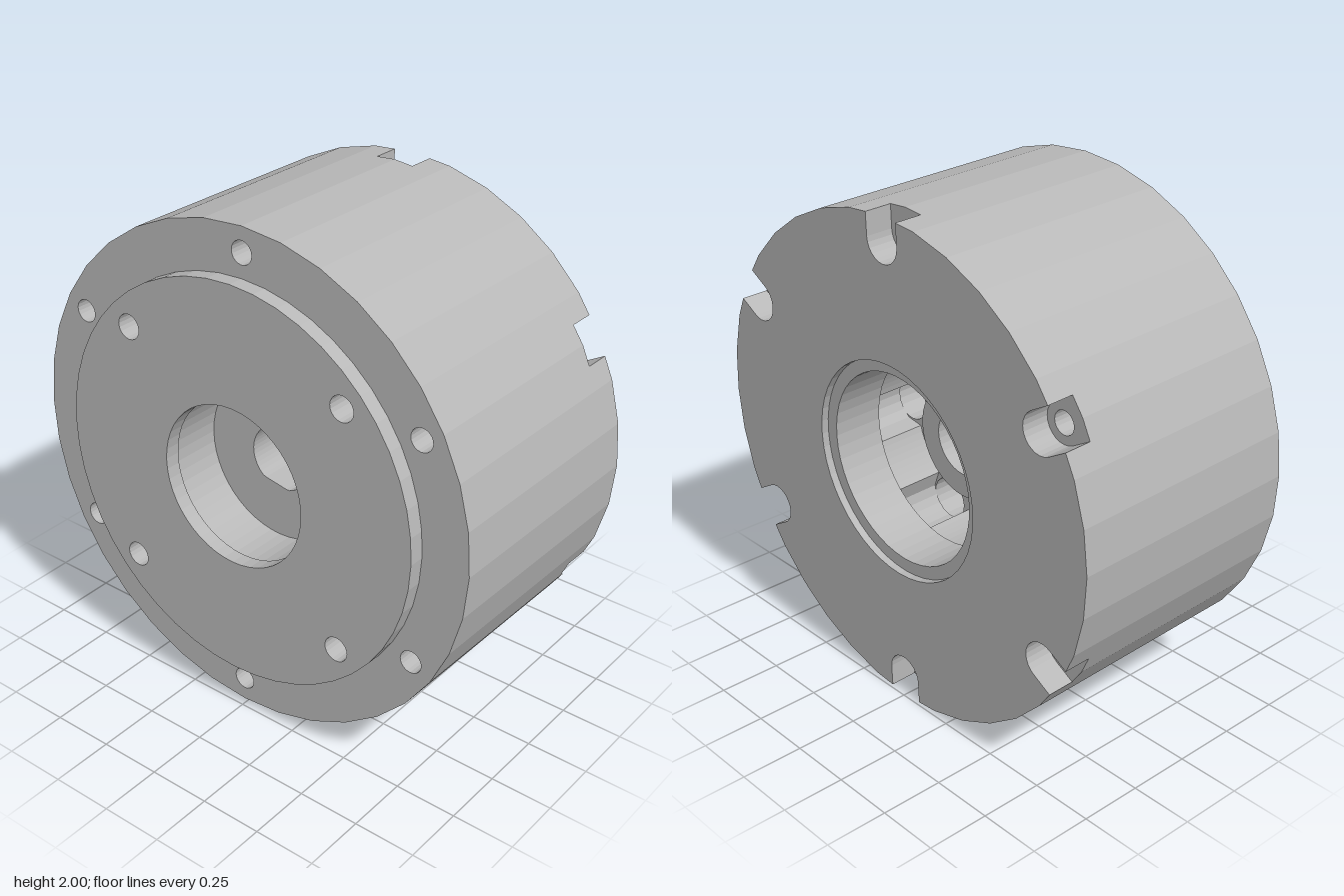
import * as THREE from 'three';

const R = 0.987, BOLT_R = 0.89, SLOT = 0.08, TILT = -0.0253;

// circle as a path around (x, y), optionally flattened on two sides
function circle(r, x = 0, y = 0, n = 24, flat = Infinity, turn = 0) {
  const pts = [];
  for (let i = 0; i < n; i++) {
    const a = (i / n) * Math.PI * 2;
    const u = r * Math.cos(a), v = THREE.MathUtils.clamp(r * Math.sin(a), -flat, flat);
    pts.push(new THREE.Vector2(
      x + u * Math.cos(turn) - v * Math.sin(turn),
      y + u * Math.sin(turn) + v * Math.cos(turn)));
  }
  return pts;
}

// n equal circles spaced around the axis
function ring(n, dist, r, start) {
  return Array.from({ length: n }, (_, i) => {
    const a = start + (i / n) * Math.PI * 2;
    return circle(r, dist * Math.cos(a), dist * Math.sin(a), 20);
  });
}

// faceted outline with six round-ended slots cut in from the rim
function slottedOutline() {
  const pts = [];
  for (let i = 0; i < 36; i++) {
    const a = (i * Math.PI) / 18;
    if (i % 6 !== 3) {
      pts.push(new THREE.Vector2(R * Math.cos(a), R * Math.sin(a)));
      continue;
    }
    const add = (u, v) => pts.push(new THREE.Vector2(
      u * Math.cos(a) - v * Math.sin(a), u * Math.sin(a) + v * Math.cos(a)));
    add(R - 0.007, -SLOT);
    for (let k = 0; k <= 12; k++) {
      const t = -Math.PI / 2 - (k / 12) * Math.PI;
      add(BOLT_R + SLOT * Math.cos(t), SLOT * Math.sin(t));
    }
    add(R - 0.007, SLOT);
  }
  return pts;
}

// six-lobed chamber outline
function lobedOutline() {
  const pts = [];
  for (let i = 0; i < 96; i++) {
    const a = (i / 96) * Math.PI * 2;
    const r = 0.385 + 0.11 * Math.sqrt(Math.max(0, Math.cos(6 * a)));
    pts.push(new THREE.Vector2(r * Math.cos(a), r * Math.sin(a)));
  }
  return pts;
}

export function createModel() {
  const model = new THREE.Group();
  const housing = new THREE.Group();
  housing.name = 'housing';
  const metal = new THREE.MeshStandardMaterial({ color: 0xb8b8b8 });
  metal.name = 'grey metal';

  // slab between two stations along the axis, with holes
  function slab(name, x0, x1, outline, holes) {
    const shape = new THREE.Shape(outline);
    for (const h of holes) shape.holes.push(new THREE.Path(h));
    const geo = new THREE.ExtrudeGeometry(shape, { depth: x1 - x0, bevelEnabled: false });
    geo.translate(0, 0, x0);
    geo.rotateY(Math.PI / 2);
    const mesh = new THREE.Mesh(geo, metal);
    mesh.name = name;
    housing.add(mesh);
  }

  const drum = circle(R, 0, 0, 36);
  const bolts = ring(6, BOLT_R, 0.045, Math.PI / 6);
  const screws = ring(4, 0.69, 0.05, Math.PI / 4);
  const bore = circle(0.378, 0, 0, 48);
  const shaft = circle(0.13, 0, 0, 32);
  const keyedShaft = circle(0.13, 0, 0, 48, 0.115, 0.17);

  // raised boss and the back part of the drum
  slab('boss', -0.523, -0.46, circle(0.795, 0, 0, 48), [circle(0.32, 0, 0, 48), ...screws]);
  slab('drumBack', -0.46, -0.25, drum, [circle(0.33, 0, 0, 48), ...bolts, ...screws]);

  // core with keyed shaft hole and six pockets
  slab('drumCore', -0.25, -0.08, drum, [keyedShaft, ...bolts]);
  slab('pocketPlate', -0.08, 0.08, drum, [shaft, ...bolts, ...ring(6, 0.42, 0.085, 0)]);

  // lobed chamber, bore and slotted rim
  slab('lobedChamber', 0.08, 0.28, drum, [lobedOutline(), ...bolts]);
  slab('boreWall', 0.28, 0.405, drum, [bore, ...bolts]);
  slab('slottedRim', 0.405, 0.485, slottedOutline(), [bore]);
  slab('rimFace', 0.485, 0.515, slottedOutline(), [circle(0.43, 0, 0, 48)]);

  // stepped hub around the shaft hole
  slab('hubStep', 0.08, 0.11, circle(0.277, 0, 0, 48), [shaft]);
  slab('hub', 0.11, 0.19, circle(0.225, 0, 0, 48), [shaft]);

  // the whole drum leans slightly
  housing.rotation.z = TILT;
  housing.position.y = 1;
  model.add(housing);
  return model;
}
